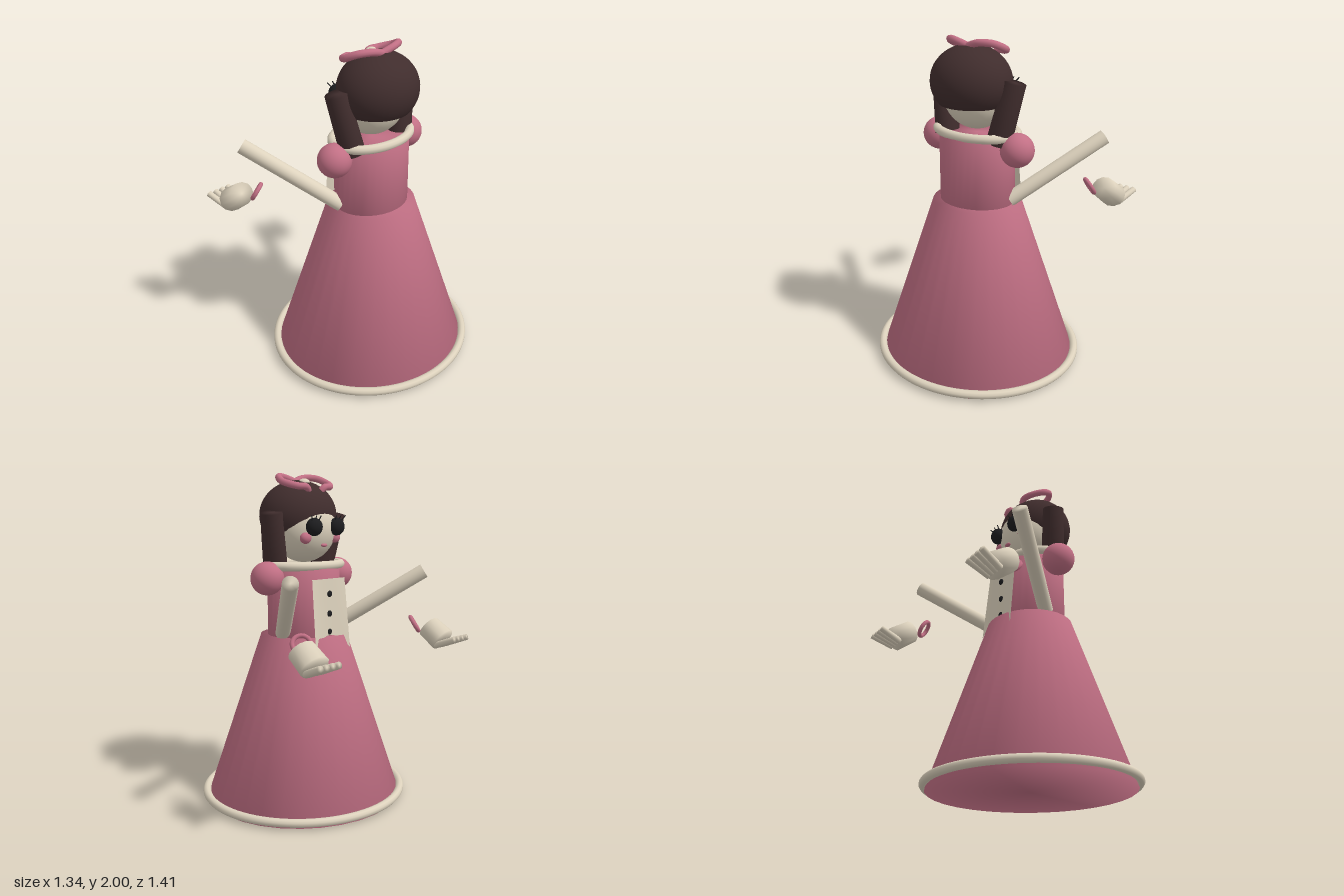
import * as THREE from 'three';
import { mergeVertices } from 'three/addons/utils/BufferGeometryUtils.js';

const V = (x, y, z) => new THREE.Vector3(x, y, z);
const CZ = 0.073; // z of the body axis; the doll faces -z

function paint(name, hex, double = false) {
  const m = new THREE.MeshStandardMaterial({ color: hex });
  m.name = name;
  if (double) m.side = THREE.DoubleSide;
  return m;
}

// Closed cylinder shaded softly across its rims
function softCylinder(rTop, rBottom, height, sides) {
  const g = new THREE.CylinderGeometry(rTop, rBottom, height, sides);
  g.deleteAttribute('normal');
  g.deleteAttribute('uv');
  const soft = mergeVertices(g, 1e-4);
  soft.computeVertexNormals();
  return soft;
}

export function createModel() {
  const pink = paint('pink cloth', 0xc27085);
  const cream = paint('cream', 0xddd2bd);
  const creamCloth = paint('cream cloth', 0xddd2bd, true);
  const brown = paint('dark brown hair', 0x402d2d, true);
  const black = paint('black', 0x1d1d1f);
  const root = new THREE.Group();
  root.name = 'doll';

  const add = (name, geo, mat, pos = V(0, 0, 0), scale = V(1, 1, 1)) => {
    const m = new THREE.Mesh(geo, mat);
    m.name = name;
    m.position.copy(pos);
    m.scale.copy(scale);
    root.add(m);
    return m;
  };
  const ball = (name, mat, pos, rx, ry = rx, rz = rx) =>
    add(name, new THREE.SphereGeometry(1, 32, 20), mat, pos, V(rx, ry, rz));
  // Cylinder between two points
  const rod = (name, mat, a, b, ra, rb = ra, sides = 20) => {
    const d = b.clone().sub(a);
    const m = add(name, softCylinder(rb, ra, d.length(), sides), mat, a.clone().add(b).multiplyScalar(0.5));
    m.quaternion.setFromUnitVectors(V(0, 1, 0), d.normalize());
    return m;
  };
  const tube = (name, mat, pts, r, closed = false, n = 48) =>
    add(name, new THREE.TubeGeometry(new THREE.CatmullRomCurve3(pts, closed), n, r, 10, closed), mat);
  // Round piping along a horizontal ellipse
  const piping = (name, y, rx, rz, r) => {
    const pts = [];
    for (let i = 0; i < 24; i++) {
      const a = (i / 24) * Math.PI * 2;
      pts.push(V(Math.cos(a) * rx, y, CZ + Math.sin(a) * rz));
    }
    tube(name, cream, pts, r, true, 96);
  };

  // Dress
  add('skirt', softCylinder(0.26, 0.597, 1.03, 32), pink, V(0, 0.515, CZ), V(1.05, 1, 1));
  add('bodice', softCylinder(1, 1, 0.42, 32), pink, V(0, 1.235, CZ), V(0.239, 1, 0.206));
  piping('hemTrim', 0.037, 0.636, 0.603, 0.025);
  piping('collar', 1.457, 0.264, 0.186, 0.027);

  // Front panel: a cloth sheet with a notched lower edge that curls forward at the corners
  const panelGeo = new THREE.PlaneGeometry(2, 1, 12, 10);
  const p = panelGeo.attributes.position;
  for (let i = 0; i < p.count; i++) {
    const u = p.getX(i);
    const drop = 0.5 - p.getY(i);
    const y = 1.38 - drop * (0.34 + 0.09 * u * u);
    p.setXYZ(i, -u * (0.14 + 0.01 * drop), y, -0.139 - drop * (0.012 + 0.03 * u * u));
  }
  panelGeo.computeVertexNormals();
  add('frontPanel', panelGeo, creamCloth);
  for (const y of [1.29, 1.17, 1.06]) ball('button', black, V(0, y, -0.148), 0.019, 0.019, 0.01);

  // Head and hair cap
  ball('head', cream, V(0, 1.68, CZ), 0.205, 0.21, 0.193);
  add('hairCap', new THREE.SphereGeometry(1, 40, 28, 0, Math.PI * 2, 0, 2.23), brown,
    V(0, 1.752, 0.122), V(0.247, 0.212, 0.226));
  ball('mouth', pink, V(0, 1.578, -0.1), 0.024, 0.011, 0.014);

  // Hair bow
  ball('bowButton', cream, V(0, 1.945, 0.068), 0.036, 0.028, 0.036);

  for (const s of [1, -1]) {
    const P = (x, y, z) => V(s * x, y, z);

    tube('bowLoop', pink, [P(0.045, 1.885, -0.015), P(0.075, 1.918, -0.028), P(0.14, 1.925, -0.012),
      P(0.186, 1.948, 0.056), P(0.16, 1.977, 0.122), P(0.085, 1.98, 0.16), P(0, 1.955, 0.15)], 0.021);
    rod('pigtail', brown, P(0.195, 1.415, 0.115), P(0.27, 1.77, 0.067), 0.074, 0.066, 24);

    // Face
    ball('eye', black, P(0.095, 1.687, -0.112), 0.052, 0.053, 0.047);
    ball('cheek', pink, P(0.125, 1.622, -0.07), 0.038, 0.034, 0.03);
    for (let i = 0; i < 3; i++) {
      const x = 0.07 + i * 0.028;
      rod('eyelash', black, P(x, 1.725, -0.125), P(x + (i - 0.4) * 0.012, 1.752, -0.14), 0.004, 0.003, 6);
    }

    // Sleeve puff and arm
    ball('sleevePuff', pink, P(0.3, 1.387, 0.075), 0.1);
    const armStart = P(0.215, 1.055, 0.035);
    const armEnd = P(0.578, 1.41, -0.415);
    rod('arm', cream, armStart, armEnd, 0.045);

    // Bracelet, square to the arm
    const ring = add('bracelet', new THREE.TorusGeometry(0.05, 0.013, 10, 32), pink, P(0.497, 1.082, -0.412));
    ring.quaternion.setFromUnitVectors(V(0, 0, 1), armEnd.clone().sub(armStart).normalize());

    // Hand
    const palm = rod('palm', cream, P(0.56, 1.065, -0.478), P(0.567, 0.993, -0.58), 0.071, 0.076, 12);
    palm.scale.x = 1.18;
    for (let i = 0; i < 4; i++) {
      rod('finger', cream, P(0.515 + i * 0.034, 0.962, -0.565), P(0.512 + i * 0.046, 1.015, -0.7), 0.02, 0.019, 12);
    }
  }
  return root;
}
